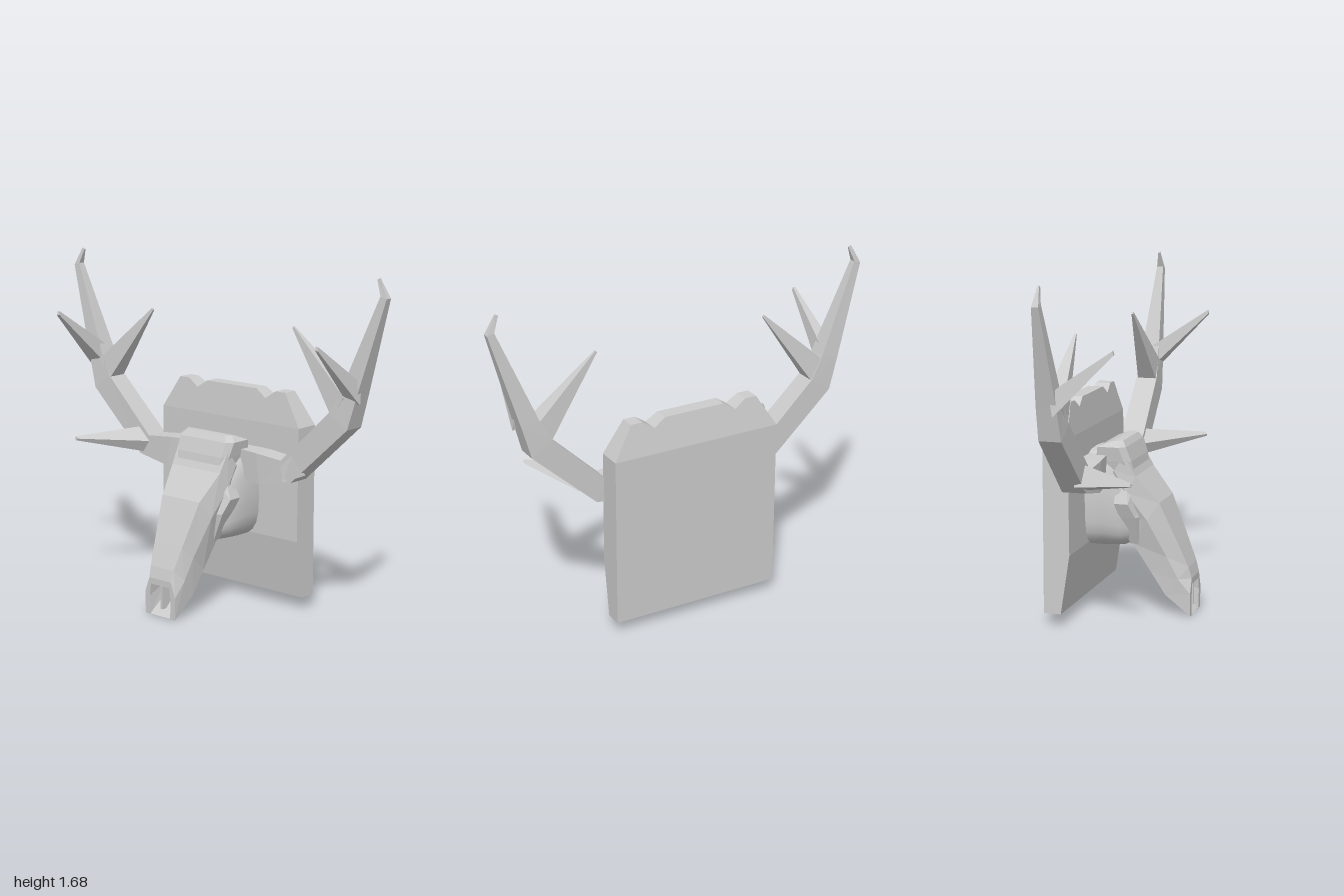
import * as THREE from 'three';
import { toCreasedNormals } from 'three/addons/utils/BufferGeometryUtils.js';

const flat = new THREE.MeshStandardMaterial({ color: 0xcccccc, flatShading: true, side: THREE.DoubleSide });
const smooth = new THREE.MeshStandardMaterial({ color: 0xcccccc, side: THREE.DoubleSide });

// Closed skin over a list of rings ([x, y, z] corners), turned outward by its signed volume
function loft(name, rings, crease = 0) {
  const n = rings[0].length, tris = [];
  for (let r = 0; r + 1 < rings.length; r++) {
    for (let i = 0; i < n; i++) {
      const j = (i + 1) % n, a = rings[r], b = rings[r + 1];
      tris.push([a[i], a[j], b[j]], [a[i], b[j], b[i]]);
    }
  }
  const last = rings[rings.length - 1];
  for (let i = 1; i + 1 < n; i++) {
    tris.push([rings[0][0], rings[0][i + 1], rings[0][i]], [last[0], last[i], last[i + 1]]);
  }
  const v = p => new THREE.Vector3(...p);
  const volume = tris.reduce((s, [a, b, c]) => s + v(a).dot(v(b).cross(v(c))), 0);
  const points = tris.flatMap(t => (volume < 0 ? [t[0], t[2], t[1]] : t)).map(v);
  let geo = new THREE.BufferGeometry().setFromPoints(points);
  geo.computeVertexNormals();
  if (crease) geo = toCreasedNormals(geo, crease);
  const mesh = new THREE.Mesh(geo, crease ? smooth : flat);
  mesh.name = name;
  return mesh;
}

// Backboard: three bands of the outline, front and back leaning in at top and bottom
function makeBackboard() {
  const board = new THREE.Group();
  board.name = 'backboard';
  const w = 0.44;
  const bands = [
    [[-w, 0.07], [w, 0.07], [w, 0.36], [-w, 0.36]],
    [[-w, 0.36], [w, 0.36], [w, 0.92], [-w, 0.92]],
    [[-w, 0.92], [w, 0.92], [0.34, 1.08], [0.28, 1.08], [0.22, 1.04], [0.16, 1.08],
      [-0.16, 1.08], [-0.22, 1.04], [-0.28, 1.08], [-0.34, 1.08]],
  ];
  const lerp = (y, table) => {
    let k = 0;
    while (k < table.length - 2 && y > table[k + 1][0]) k++;
    const [a, b] = [table[k], table[k + 1]];
    return THREE.MathUtils.mapLinear(y, a[0], b[0], a[1], b[1]);
  };
  const front = [[0.07, -0.23], [0.36, -0.185], [0.92, -0.19], [1.08, -0.208]];
  const back = [[0.07, -0.315], [0.92, -0.315], [1.08, -0.283]];
  for (const band of bands) {
    const shape = new THREE.Shape(band.map(p => new THREE.Vector2(...p)));
    const geo = new THREE.ExtrudeGeometry(shape, { depth: 1, bevelEnabled: false });
    const pos = geo.attributes.position;
    for (let i = 0; i < pos.count; i++) {
      pos.setZ(i, lerp(pos.getY(i), pos.getZ(i) > 0.5 ? front : back));
    }
    geo.computeVertexNormals();
    const mesh = new THREE.Mesh(geo, flat);
    mesh.name = 'boardBand';
    board.add(mesh);
  }
  return board;
}

// Antler on side s: four-sided beam and three tapering tines
function makeAntler(s) {
  const antler = new THREE.Group();
  antler.name = s > 0 ? 'leftAntler' : 'rightAntler';
  // outer x, y, inner x, y, front z, back z
  const beam = [
    [0.13, 0.66, 0.13, 0.80, -0.09, -0.18],
    [0.30, 0.645, 0.28, 0.795, -0.075, -0.195],
    [0.49, 0.68, 0.43, 0.78, -0.08, -0.198],
    [0.815, 0.98, 0.71, 1.05, -0.087, -0.195],
    [0.86, 1.14, 0.77, 1.16, -0.095, -0.19],
    [0.995, 1.60, 0.96, 1.61, -0.125, -0.158],
    [0.947, 1.69, 0.932, 1.683, -0.137, -0.144],
  ];
  antler.add(loft('beam', beam.map(([ox, oy, ix, iy, f, b]) =>
    [[s * ox, oy, f], [s * ix, iy, f], [s * ix, iy, b], [s * ox, oy, b]])));
  // Tine: four base corners shrinking to a small tip
  const tine = (name, base, tip, size) => {
    const c = [0, 1, 2].map(k => base.reduce((t, p) => t + p[k] / 4, 0));
    const end = base.map(p => p.map((q, k) => tip[k] + (q - c[k]) * size));
    antler.add(loft(name, [base, end].map(r => r.map(([x, y, z]) => [s * x, y, z]))));
  };
  tine('innerTine', [[0.72, 1.03, -0.09], [0.79, 1.13, -0.09], [0.79, 1.13, -0.19], [0.72, 1.03, -0.19]],
    [0.452, 1.417, -0.14], 0.1);
  tine('frontTine', [[0.78, 1.12, -0.11], [0.87, 1.10, -0.11], [0.86, 1.20, -0.13], [0.79, 1.21, -0.13]],
    [0.825, 1.392, 0.16], 0.2);
  tine('browTine', [[0.42, 0.75, -0.09], [0.46, 0.69, -0.09], [0.55, 0.72, -0.12], [0.48, 0.82, -0.11]],
    [0.675, 0.773, 0.195], 0.16);
  return antler;
}

function makeSkull() {
  const skull = new THREE.Group();
  skull.name = 'skull';
  skull.position.x = 0.01;

  // Long face: six-sided sections, ending in a hollow muzzle
  // top z, y, bottom z, y, half widths at top, middle and bottom
  const face = [
    [0.0, 0.80, -0.12, 0.62, 0.16, 0.17, 0.12],
    [0.055, 0.70, -0.05, 0.50, 0.155, 0.17, 0.13],
    [0.165, 0.57, 0.03, 0.36, 0.12, 0.15, 0.115],
    [0.255, 0.36, 0.12, 0.22, 0.09, 0.115, 0.105],
    [0.30, 0.25, 0.19, 0.11, 0.075, 0.105, 0.10],
    [0.315, 0.195, 0.315, 0.01, 0.07, 0.098, 0.095],
    [0.315, 0.165, 0.315, 0.012, 0.06, 0.068, 0.065],
    [0.22, 0.19, 0.22, 0.10, 0.05, 0.055, 0.05],
  ];
  skull.add(loft('face', face.map(([tz, ty, bz, by, t, m, b]) => {
    const my = ty * 0.6 + by * 0.4, mz = tz * 0.6 + bz * 0.4;
    return [[-t, ty, tz], [t, ty, tz], [m, my, mz], [b, by, bz], [-b, by, bz], [-m, my, mz]];
  })));
  // Thin divider inside the muzzle
  const divider = new THREE.Mesh(new THREE.BoxGeometry(0.012, 0.12, 0.07), flat);
  divider.name = 'nasalDivider';
  divider.position.set(0, 0.105, 0.27);
  skull.add(divider);

  // Rounded braincase running back to the board: half width, half height, centre y
  const sections = [
    [0.04, 0.12, 0.10, 0.49], [0.025, 0.15, 0.14, 0.50], [-0.02, 0.18, 0.20, 0.54],
    [-0.10, 0.198, 0.245, 0.58], [-0.19, 0.20, 0.24, 0.575],
  ];
  const rounded = a => Math.sign(a) * Math.pow(Math.abs(a), 0.6);
  skull.add(loft('braincase', sections.map(([z, w, h, y]) =>
    Array.from({ length: 24 }, (_, i) => {
      const a = i / 24 * Math.PI * 2;
      return [w * rounded(Math.cos(a)), y + h * rounded(Math.sin(a)), z];
    })), 0.7));

  // Raised crown between the antlers: y, half width, front z, back z
  const crown = [
    [0.72, 0.155, 0.04, -0.12], [0.77, 0.165, 0.03, -0.14],
    [0.84, 0.175, 0.005, -0.13], [0.868, 0.145, -0.015, -0.06],
  ];
  skull.add(loft('crown', crown.map(([y, w, f, b]) =>
    [[-w * 0.85, y, f], [w * 0.85, y, f], [w, y, f - 0.03], [w, y, b], [-w, y, b], [-w, y, f - 0.03]])));

  // Flared eye sockets: y, inner x, outer x, front z, back z
  const socket = [
    [0.65, 0.12, 0.16, 0.04, -0.04], [0.57, 0.12, 0.20, 0.06, -0.04],
    [0.50, 0.11, 0.175, 0.09, -0.02], [0.36, 0.09, 0.12, 0.09, 0.02],
  ];
  for (const s of [-1, 1]) {
    skull.add(loft(s > 0 ? 'leftEyeSocket' : 'rightEyeSocket', socket.map(([y, i, o, f, b]) =>
      [[s * i, y, f], [s * o, y, f - 0.03], [s * o, y, b], [s * i, y, b]])));
  }
  return skull;
}

export function createModel() {
  const model = new THREE.Group();
  model.name = 'mountedSkull';
  model.add(makeBackboard(), makeSkull(), makeAntler(1), makeAntler(-1));
  model.children[0].position.x = 0.01;
  return model;
}
